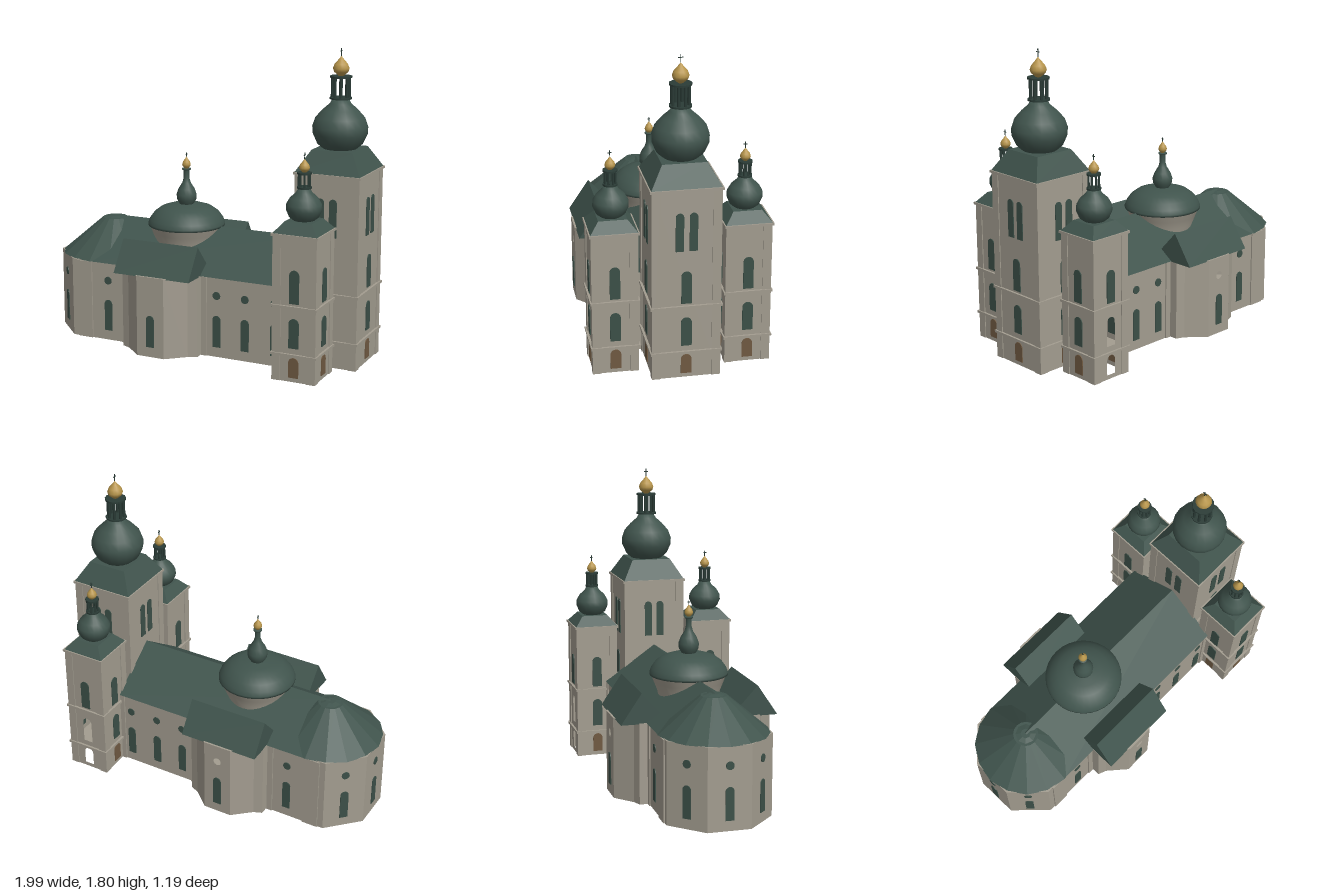
import * as THREE from 'three';

const mat = (name, color, side = THREE.FrontSide) => {
  const m = new THREE.MeshStandardMaterial({ color, side });
  m.name = name;
  return m;
};

export function createModel() {
  const stone = mat('stone', 0xa39d90, THREE.DoubleSide);
  const copper = mat('copper roof', 0x40544d);
  const glass = mat('window glass', 0x3c5048);
  const wood = mat('door wood', 0x705a42);
  const gold = mat('gold', 0xb8964c);
  const dark = mat('lantern metal', 0x2b3c37);

  const model = new THREE.Group();
  model.name = 'church';
  // the building's long axis runs along local x, turned slightly on its site
  model.position.set(0.01, 0, 0.054);
  model.rotation.y = 0.175;

  const add = (parent, name, geo, material, x = 0, y = 0, z = 0) => {
    const m = new THREE.Mesh(geo, material);
    m.name = name;
    m.position.set(x, y, z);
    parent.add(m);
    return m;
  };
  const group = (parent, name, x = 0, z = 0) => {
    const g = new THREE.Group();
    g.name = name;
    g.position.set(x, 0, z);
    parent.add(g);
    return g;
  };
  const box = (p, name, w, h, d, material, x, y, z) =>
    add(p, name, new THREE.BoxGeometry(w, h, d), material, x, y, z);
  const lathe = (p, name, pts, material, segs = 20) =>
    add(p, name, new THREE.LatheGeometry(pts.map(([r, y]) => new THREE.Vector2(r, y)), segs), material);
  const facet = (geo) => {
    const g = geo.toNonIndexed();
    g.computeVertexNormals();
    return g;
  };

  // outline of an arched or round opening
  const outline = (o, C) => {
    const s = new C();
    if (o.r) {
      s.absarc(o.x, o.y, o.r, 0, Math.PI * 2, false);
    } else {
      const r = o.w / 2;
      s.moveTo(o.x - r, o.y0);
      s.lineTo(o.x + r, o.y0);
      s.lineTo(o.x + r, o.y1 - r);
      s.absarc(o.x, o.y1 - r, r, 0, Math.PI, false);
      s.closePath();
    }
    return s;
  };

  // upright wall from a to b with windows; opening x is measured from its middle
  const wall = (p, name, a, b, h, openings = []) => {
    const du = b[0] - a[0], dv = b[1] - a[1], half = Math.hypot(du, dv) / 2;
    const g = group(p, name, (a[0] + b[0]) / 2, (a[1] + b[1]) / 2);
    g.rotation.y = Math.atan2(-dv, du);
    const s = new THREE.Shape();
    s.moveTo(-half, 0).lineTo(half, 0).lineTo(half, h).lineTo(-half, h).closePath();
    for (const o of openings) {
      if (o.open) s.holes.push(outline(o, THREE.Path));
      else add(g, o.door ? 'door' : 'window',
        new THREE.ExtrudeGeometry(outline(o, THREE.Shape), { depth: 0.005, bevelEnabled: false, curveSegments: 8 }),
        o.door ? wood : glass);
    }
    add(g, 'wallFace', new THREE.ShapeGeometry(s, 8), stone);
  };

  // gold finial with a thin cross
  const finial = (p, y, h, r, cross) => {
    lathe(p, 'goldFinial', [[r * 0.3, y], [r * 0.85, y + h * 0.2], [r, y + h * 0.38], [r * 0.8, y + h * 0.6],
      [r * 0.35, y + h * 0.82], [0.001, y + h]], gold, 14);
    box(p, 'crossPost', 0.004, cross, 0.004, dark, 0, y + h + cross / 2, 0);
    box(p, 'crossArm', 0.004, 0.004, cross * 0.6, dark, 0, y + h + cross * 0.62, 0);
  };

  // open lantern: two discs carried on a ring of columns
  const lantern = (p, y, h, r) => {
    for (const yy of [y, y + h])
      add(p, 'lanternDisc', new THREE.CylinderGeometry(r, r, 0.01, 12), dark, 0, yy, 0);
    for (let i = 0; i < 8; i++) {
      const a = (i + 0.5) * Math.PI / 4;
      add(p, 'lanternColumn', new THREE.CylinderGeometry(r * 0.14, r * 0.14, h, 6), dark,
        Math.cos(a) * r * 0.75, y + h / 2, Math.sin(a) * r * 0.75);
    }
  };

  // square tower with bands, corner strips and a hipped roof
  const tower = (name, x, z, t) => {
    const g = group(model, name, x, z), s = t.half;
    const c = [[-s, s], [s, s], [s, -s], [-s, -s]];
    for (let i = 0; i < 4; i++) {
      const open = i === 2 && z < -0.1;
      const openings = [
        { x: 0, w: 0.06, y0: 0.025, y1: 0.14, door: true, open },
        { x: 0, w: 0.06, y0: 0.195, y1: 0.365, open },
        { x: 0, w: 0.058, y0: 0.45, y1: 0.64 },
      ];
      if (t.bells) for (const k of [-1, 1]) openings.push({ x: k * 0.038, w: 0.045, y0: 0.76, y1: 0.98 });
      wall(g, 'towerWall', c[i], c[(i + 1) % 4], t.top, openings);
      box(g, 'cornerStrip', 0.05, t.top, 0.05, stone,
        Math.sign(c[i][0]) * (s - 0.02), t.top / 2, Math.sign(c[i][1]) * (s - 0.02));
    }
    for (const y of [0.155, 0.43, t.top])
      box(g, 'band', 2 * s + 0.026, 0.014, 2 * s + 0.026, stone, 0, y, 0);
    const hip = facet(new THREE.CylinderGeometry(t.hipTop * Math.SQRT2, (s + 0.006) * Math.SQRT2, t.hipH, 4).rotateY(Math.PI / 4));
    add(g, 'hippedRoof', hip, copper, 0, t.top + 0.007 + t.hipH / 2, 0);
    lathe(g, 'onionDome', t.onion, copper, 20);
    lantern(g, ...t.lantern);
    finial(g, ...t.finial);
  };

  tower('mainTower', 0.763, 0, {
    half: 0.187, top: 1.11, bells: true, hipTop: 0.122, hipH: 0.12,
    onion: [[0.095, 1.235], [0.13, 1.265], [0.155, 1.32], [0.157, 1.36], [0.14, 1.41], [0.1, 1.455], [0.06, 1.49], [0.045, 1.52], [0, 1.52]],
    lantern: [1.52, 0.12, 0.063], finial: [1.645, 0.11, 0.047, 0.045],
  });
  for (const s of [-1, 1])
    tower('sideTower', 0.704, s * 0.373, {
      half: 0.125, top: 0.83, hipTop: 0.08, hipH: 0.06,
      onion: [[0.058, 0.895], [0.083, 0.915], [0.1, 0.955], [0.098, 0.985], [0.078, 1.02], [0.045, 1.05], [0.03, 1.08], [0, 1.08]],
      lantern: [1.077, 0.08, 0.041], finial: [1.16, 0.075, 0.03, 0.035],
    });

  // nave, polygonal apse and transepts share one mirrored footprint
  const side = [[-1.005, 0.126], [-0.826, 0.305], [-0.45, 0.305], [-0.45, 0.36], [-0.4, 0.38], [-0.2925, 0.475],
    [-0.1175, 0.475], [-0.01, 0.38], [0.04, 0.36], [0.04, 0.305], [0.59, 0.305]];
  const plan = [...side, ...side.map(([u, v]) => [u, -v]).reverse()];
  const bay = (x, open) => [{ x, w: 0.05, y0: 0.06, y1: 0.25 }, { x, y: 0.37, r: 0.024, open }];
  const bays = { 0: bay(0), 1: bay(0.058), 5: bay(0, true), 9: [-0.175, 0.005, 0.19].flatMap((x) => bay(x)) };
  const n = plan.length;
  const nave = group(model, 'nave');
  for (let i = 0; i < n; i++) {
    let o = bays[i] || [];
    if (i === n - 1) o = bay(0);
    else if (i > 10) o = (bays[n - 2 - i] || []).map((w) => ({ ...w, x: -w.x }));
    wall(nave, 'naveWall', plan[i], plan[(i + 1) % n], 0.48, o);
  }
  const planShape = new THREE.Shape(plan.map(([u, v]) => new THREE.Vector2(u, v)));
  for (const [name, y] of [['floor', 0.01], ['eavesSlab', 0.48]])
    add(nave, name, new THREE.ExtrudeGeometry(planShape, { depth: 0.01, bevelEnabled: false }).rotateX(Math.PI / 2), stone, 0, y, 0);
  for (const s of [-1, 1])
    for (const [u, w] of [[-0.74, 0.1], [-0.47, 0.035], [0.06, 0.035], [0.565, 0.03]])
      box(nave, 'pilaster', w, 0.475, 0.02, stone, u, 0.2375, s * 0.303);

  // roofs as prisms along the building
  const prism = (name, pts, u0, u1) => {
    const shape = new THREE.Shape(pts.map(([v, y]) => new THREE.Vector2(-v, y)));
    const geo = new THREE.ExtrudeGeometry(shape, { depth: u1 - u0, bevelEnabled: false }).rotateY(Math.PI / 2);
    add(model, name, geo, copper, u0, 0, 0);
  };
  prism('naveRoof', [[-0.317, 0.478], [0.317, 0.478], [0, 0.7]], -0.7, 0.582);
  for (const s of [-1, 1])
    prism('transeptRoof', [[s * 0.467, 0.475], [s * 0.345, 0.655], [s * 0.23, 0.53], [s * 0.23, 0.475]], -0.448, 0.04);
  add(model, 'apseRoof', facet(new THREE.CylinderGeometry(0.075, 0.32, 0.208, 16)), copper, -0.7, 0.582, 0);
  add(model, 'apseCap', facet(new THREE.CylinderGeometry(0.03, 0.078, 0.012, 8)), copper, -0.7, 0.688, 0);

  // crossing dome on a flared drum
  const dome = group(model, 'crossingDome', -0.207, 0);
  lathe(dome, 'drum', [[0.165, 0.5], [0.185, 0.6], [0.205, 0.65], [0.222, 0.695]], stone, 32);
  lathe(dome, 'domeShell', [[0, 0.69], [0.23, 0.692], [0.23, 0.705], [0.22, 0.73], [0.195, 0.765], [0.155, 0.795], [0.1, 0.813], [0, 0.822]], copper, 32);
  lathe(dome, 'domeBulb', [[0.04, 0.815], [0.058, 0.845], [0.06, 0.875], [0.048, 0.91], [0.026, 0.945], [0.017, 0.975],
    [0.017, 1.02], [0.026, 1.025], [0.026, 1.033], [0, 1.033]], copper, 16);
  finial(dome, 1.03, 0.072, 0.026, 0.025);

  return model;
}
